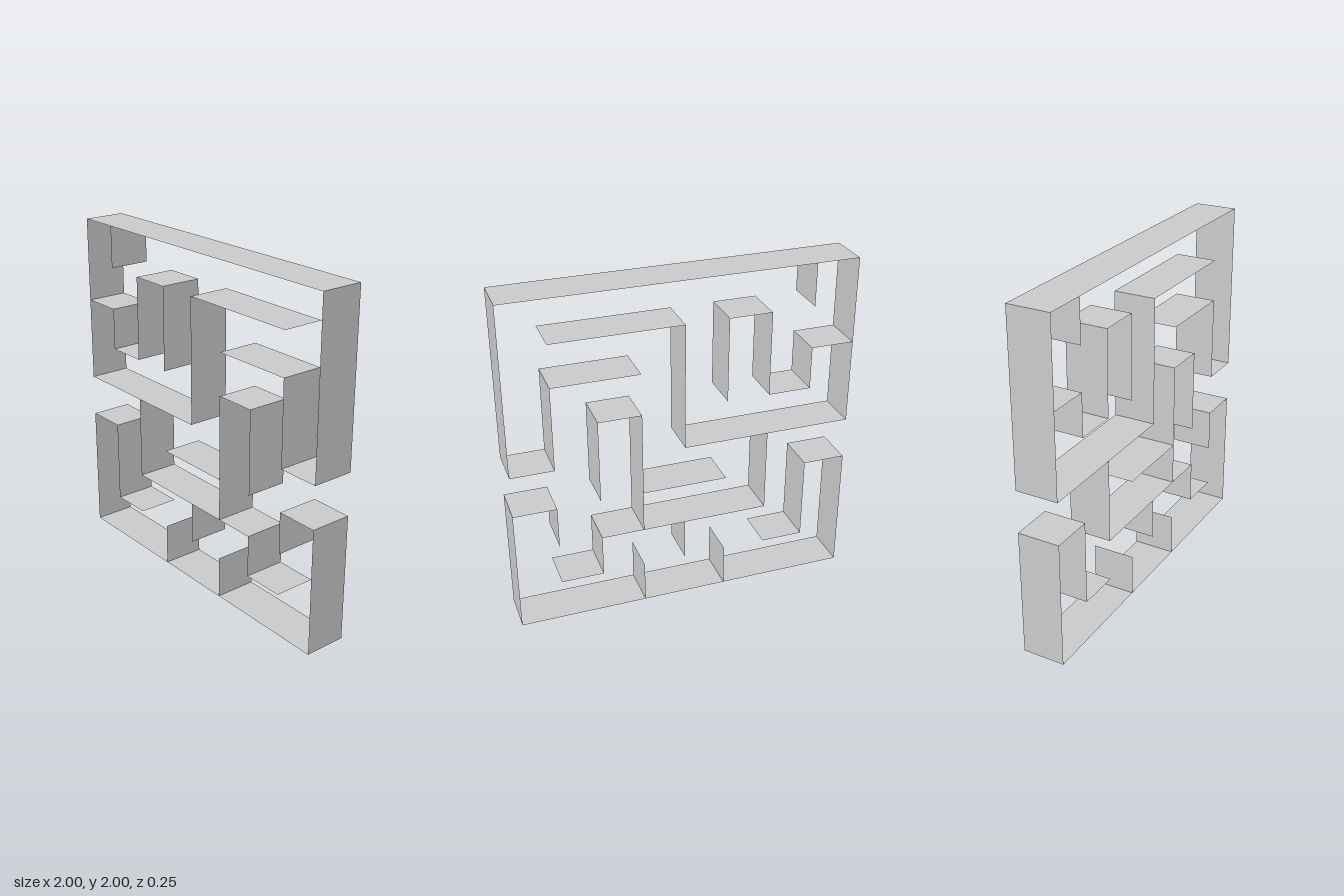
import * as THREE from 'three';

const DEPTH = 0.25;

// Each wall is a path of [x, y] corners, swept through the depth in z.
const WALLS = {
  upperFrame: [[-1, 1], [-1, 2], [1, 2], [1, 1]],
  lowerFrame: [[-1, 0.75], [-1, 0], [1, 0], [1, 0.75]],
  topStub: [[-0.75, 2], [-0.75, 1.75]],
  upperLeftWall: [[-1, 1.5], [-0.75, 1.5], [-0.75, 1.25], [-0.5, 1.25], [-0.5, 1.75], [-0.25, 1.75], [-0.25, 1.25]],
  centreWall: [[-1, 1], [0, 1], [0, 1.75], [0.75, 1.75]],
  upperRightWall: [[0.25, 1.5], [0.75, 1.5], [0.75, 1], [1, 1]],
  lowerCentreWall: [[-0.5, 1], [-0.5, 0.5], [0.5, 0.5], [0.5, 0.25], [0.75, 0.25]],
  hookWall: [[0.25, 0.5], [0.25, 1.25], [0.5, 1.25], [0.5, 0.75]],
  innerShelf: [[-0.25, 0.75], [0.25, 0.75]],
  hangingStub: [[0, 0.5], [0, 0.25]],
  lowerLeftWall: [[-1, 0.75], [-0.75, 0.75], [-0.75, 0.25], [-0.5, 0.25]],
  lowerRightWall: [[1, 0.75], [0.75, 0.75], [0.75, 0.5]],
  bottomStubRight: [[-0.25, 0], [-0.25, 0.25]],
  bottomStubLeft: [[0.25, 0], [0.25, 0.25]],
};

// Thin flat panel between two corners
function panel([x0, y0], [x1, y1], material) {
  const dx = x1 - x0, dy = y1 - y0;
  const geometry = new THREE.PlaneGeometry(Math.hypot(dx, dy), DEPTH);
  geometry.rotateX(-Math.PI / 2);
  geometry.rotateZ(Math.atan2(dy, dx));
  geometry.translate((x0 + x1) / 2, (y0 + y1) / 2, 0);
  return new THREE.Mesh(geometry, material);
}

export function createModel() {
  const model = new THREE.Group();
  model.name = 'maze';
  const material = new THREE.MeshStandardMaterial({
    color: 0xcccccc, side: THREE.DoubleSide, flatShading: true,
  });

  for (const [name, path] of Object.entries(WALLS)) {
    const wall = new THREE.Group();
    wall.name = name;
    for (let i = 1; i < path.length; i++) {
      const mesh = panel(path[i - 1], path[i], material);
      mesh.name = `${name}Panel${i}`;
      wall.add(mesh);
    }
    model.add(wall);
  }
  return model;
}
